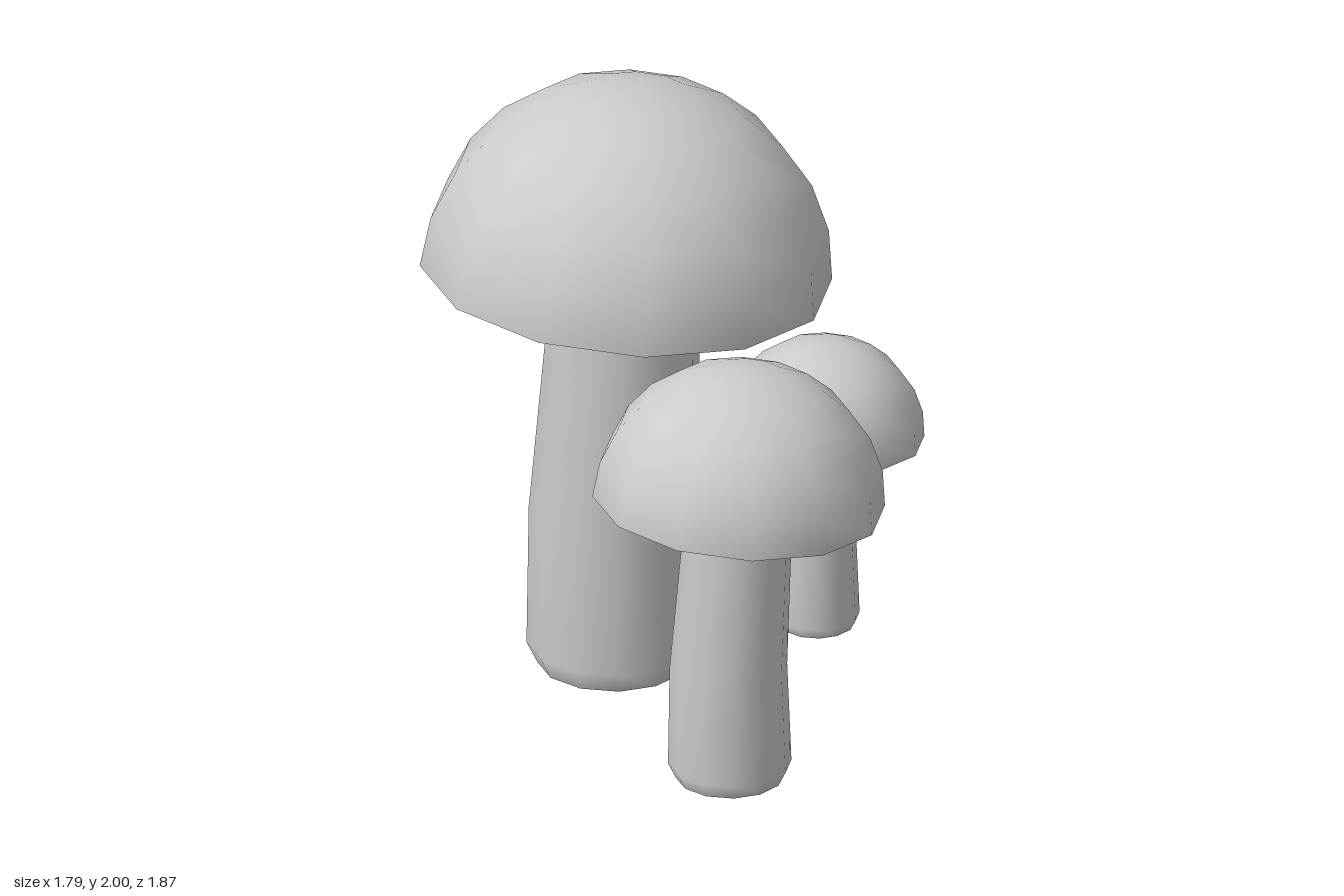
import * as THREE from 'three';

const SIDES = 12;
const material = new THREE.MeshStandardMaterial({ color: 0xcccccc });

// stem rings from the ground up: [radius, height, shift in x, shift in z]
const STEM = [
  [0.24, 0, 0, 0],
  [0.275, 0.07, 0, 0],
  [0.262, 0.54, -0.008, -0.003],
  [0.237, 1.4, 0.03, -0.046],
];
const CAP_RADIUS = 0.655;
const CAP_HEIGHT = 0.64;

function part(name, geometry) {
  const mesh = new THREE.Mesh(geometry, material);
  mesh.name = name;
  return mesh;
}

// flat polygon that faces down
function disc(radius) {
  return new THREE.CircleGeometry(radius, SIDES).rotateX(Math.PI / 2);
}

// lathe whose rings are shifted sideways so that the stem bends
function stemGeometry() {
  const profile = STEM.map(([r, y]) => new THREE.Vector2(r, y));
  const geometry = new THREE.LatheGeometry(profile, SIDES);
  const pos = geometry.attributes.position;
  for (let i = 0; i < pos.count; i++) {
    const [, , dx, dz] = STEM[i % STEM.length];
    pos.setX(i, pos.getX(i) + dx);
    pos.setZ(i, pos.getZ(i) + dz);
  }
  return geometry;
}

function mushroom(name, x, y, z, scale) {
  const group = new THREE.Group();
  group.name = name;
  group.add(part('stem', stemGeometry()), part('stemBase', disc(STEM[0][0])));

  // half-sphere cap with a flat underside, tilted back and to the left
  const cap = new THREE.Group();
  cap.name = 'cap';
  const dome = new THREE.SphereGeometry(CAP_RADIUS, SIDES, 6, 0, Math.PI * 2, 0, Math.PI / 2);
  dome.scale(1, CAP_HEIGHT / CAP_RADIUS, 1);
  cap.add(part('capDome', dome), part('capUnderside', disc(CAP_RADIUS)));
  cap.position.set(0.018, 1.33, -0.053);
  cap.rotation.set(-0.047, 0.015, -0.06);
  group.add(cap);

  group.position.set(x, y, z);
  group.scale.setScalar(scale);
  return group;
}

export function createModel() {
  const model = new THREE.Group();
  model.name = 'mushroomCluster';
  model.add(
    mushroom('largeMushroom', -0.262, 0.03, -0.06, 1),
    mushroom('mediumMushroom', 0.417, 0, 0.505, 0.71),
    mushroom('smallMushroom', 0.197, 0.03, -0.586, 0.492),
  );
  return model;
}
